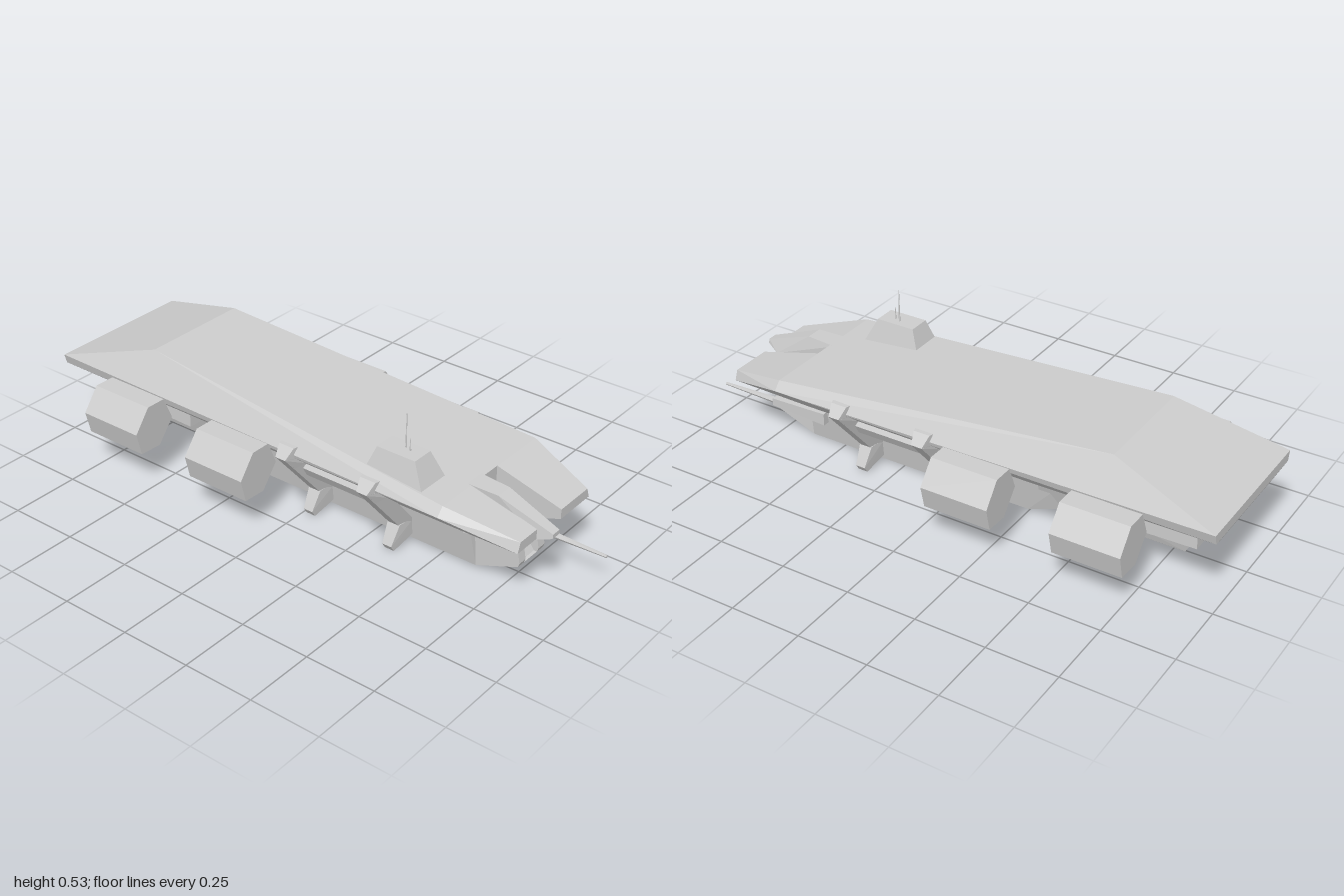
import * as THREE from 'three';
import { ConvexGeometry } from 'three/addons/geometries/ConvexGeometry.js';

const grey = new THREE.MeshStandardMaterial({ color: 0xcccccc, flatShading: true, side: THREE.DoubleSide });

export function createModel() {
  const ship = new THREE.Group();
  ship.name = 'carrierShip';
  const add = (name, geometry) => {
    const mesh = new THREE.Mesh(geometry, grey);
    mesh.name = name;
    ship.add(mesh);
    return mesh;
  };
  // Convex solid from [x, y, z] corners
  const solid = (name, pts) => add(name, new ConvexGeometry(pts.map(p => new THREE.Vector3(...p))));
  // Corners repeated on both sides of the centreline
  const both = pts => pts.flatMap(([x, y, z]) => [[x, y, z], [x, y, -z]]);
  // Side profile [x, y] spanning z0 to z1
  const slab = (name, prof, z0, z1) => solid(name, prof.flatMap(([x, y]) => [[x, y, z0], [x, y, z1]]));

  // Flight deck hull
  solid('deckHull', both([
    [-1, 0.31, 0.275], [-1, 0.275, 0.265], [-0.98, 0.235, 0.2],
    [-0.62, 0.425, 0.203], [0.62, 0.325, 0.256],
    [0.62, 0.295, 0.282], [-0.25, 0.14, 0.1], [0.62, 0.14, 0.1],
  ]));

  // Split bow: two forks and a longer finger
  const fork = (name, s, inner) => solid(name, [
    [0.62, 0.325, inner], [0.62, 0.325, s * 0.256], [0.62, 0.295, s * 0.282],
    [0.62, 0.14, s * 0.1], [0.62, 0.14, inner],
    [0.86, 0.26, inner], [0.86, 0.26, s * 0.19], [0.86, 0.225, s * 0.203], [0.86, 0.225, inner],
  ]);
  fork('bowForkRight', -1, -0.038);
  fork('bowForkLeft', 1, 0.1);
  solid('bowFinger', [
    [0.6, 0.326, 0.03], [0.6, 0.326, 0.107], [0.72, 0.325, 0.042], [0.72, 0.325, 0.104],
    [0.6, 0.14, 0.03], [0.6, 0.14, 0.107], [0.86, 0.222, 0.03], [0.86, 0.222, 0.1],
    [0.91, 0.255, 0.053], [0.91, 0.255, 0.088], [0.91, 0.24, 0.05], [0.91, 0.24, 0.09],
  ]);

  // Keel, stepped up towards the stern
  solid('keel', both([
    [-0.38, 0.06, 0.072], [-0.25, 0.012, 0.072], [0.63, 0.012, 0.072],
    [-0.38, 0.16, 0.1], [0.62, 0.16, 0.1],
  ]));
  solid('sternKeel', both([
    [-0.82, 0.06, 0.072], [-0.3, 0.06, 0.072], [-0.87, 0.15, 0.095],
    [-0.3, 0.15, 0.1], [-0.84, 0.24, 0.12], [-0.3, 0.2, 0.12],
  ]));

  // Keel prow: chin, two cheeks and a recessed centre
  slab('prowChin', [[0.6, 0.012], [0.63, 0.012], [0.785, 0.072], [0.6, 0.072]], -0.072, 0.072);
  for (const s of [-1, 1])
    slab('prowCheek', [[0.6, 0.05], [0.785, 0.072], [0.79, 0.086], [0.77, 0.196], [0.6, 0.196]], s * 0.037, s * 0.072);
  slab('prowCentre', [[0.6, 0.05], [0.775, 0.07], [0.7, 0.178], [0.6, 0.178]], -0.04, 0.04);

  for (const s of [-1, 1]) {
    // Stern engines
    solid('engine', [[-0.9, 0.16], [-0.9, 0.21], [-0.5, 0.15], [-0.5, 0.21]].flatMap(
      ([x, y]) => [[x, y, s * 0.09], [x, y, s * 0.17]]));

    // Six-sided side pods
    const pod = [[0.412, 0.22], [0.35, 0.3], [0.275, 0.3], [0.24, 0.215], [0.305, 0.135], [0.392, 0.138]];
    for (const x of [-0.64, -0.175])
      solid('sidePod', pod.flatMap(([z, y]) => [[x - 0.122, y, s * z], [x + 0.122, y, s * z]]));

    // Hull braces: [z, y, half width], narrower on the outside
    for (const x of [0.028, 0.355]) {
      const rib = (name, pts) => solid(name, pts.flatMap(([z, y, w]) => [[x - w, y, s * z], [x + w, y, s * z]]));
      rib('braceHead', [[0.25, 0.325, 0.038], [0.28, 0.325, 0.03], [0.312, 0.29, 0.02], [0.265, 0.24, 0.022], [0.23, 0.25, 0.038]]);
      rib('braceArm', [[0.312, 0.29, 0.02], [0.24, 0.28, 0.038], [0.14, 0.09, 0.02], [0.07, 0.08, 0.035]]);
      rib('braceFoot', [[0.14, 0.093, 0.024], [0.07, 0.1, 0.035], [0.176, 0.025, 0.018], [0.161, 0.003, 0.018], [0.065, 0.033, 0.03]]);
    }

    // Conduit between the braces
    const conduit = add('braceConduit', new THREE.CylinderGeometry(0.042, 0.042, 0.3, 6));
    conduit.rotation.z = Math.PI / 2;
    conduit.position.set(0.19, 0.228, s * 0.19);
  }

  // Command tower, offset to one side
  solid('commandTower', [
    ...[0.31, 0.535].flatMap(x => [[x, 0.325, 0.118], [x, 0.325, 0.246]]),
    ...[0.345, 0.49].flatMap(x => [[x, 0.415, 0.142], [x, 0.415, 0.222]]),
  ]);
  for (const [x, z, top] of [[0.418, 0.17, 0.535], [0.44, 0.178, 0.46]]) {
    const h = top - 0.41;
    add('antenna', new THREE.CylinderGeometry(0.001, 0.003, h, 6)).position.set(x, 0.41 + h / 2, z);
  }

  // Forward gun on the right of the keel
  solid('gunMount', [
    ...[0.095, 0.14].flatMap(y => [[0.55, y, -0.06], [0.55, y, -0.115]]),
    ...[0.1, 0.128].flatMap(y => [[0.78, y, -0.06], [0.78, y, -0.108]]),
  ]);
  const barrel = add('gunBarrel', new THREE.CylinderGeometry(0.005, 0.012, 0.25, 6));
  barrel.rotation.z = -Math.PI / 2;
  barrel.position.set(0.875, 0.115, -0.095);

  ship.position.z = -0.006;
  const model = new THREE.Group();
  model.add(ship);
  return model;
}
